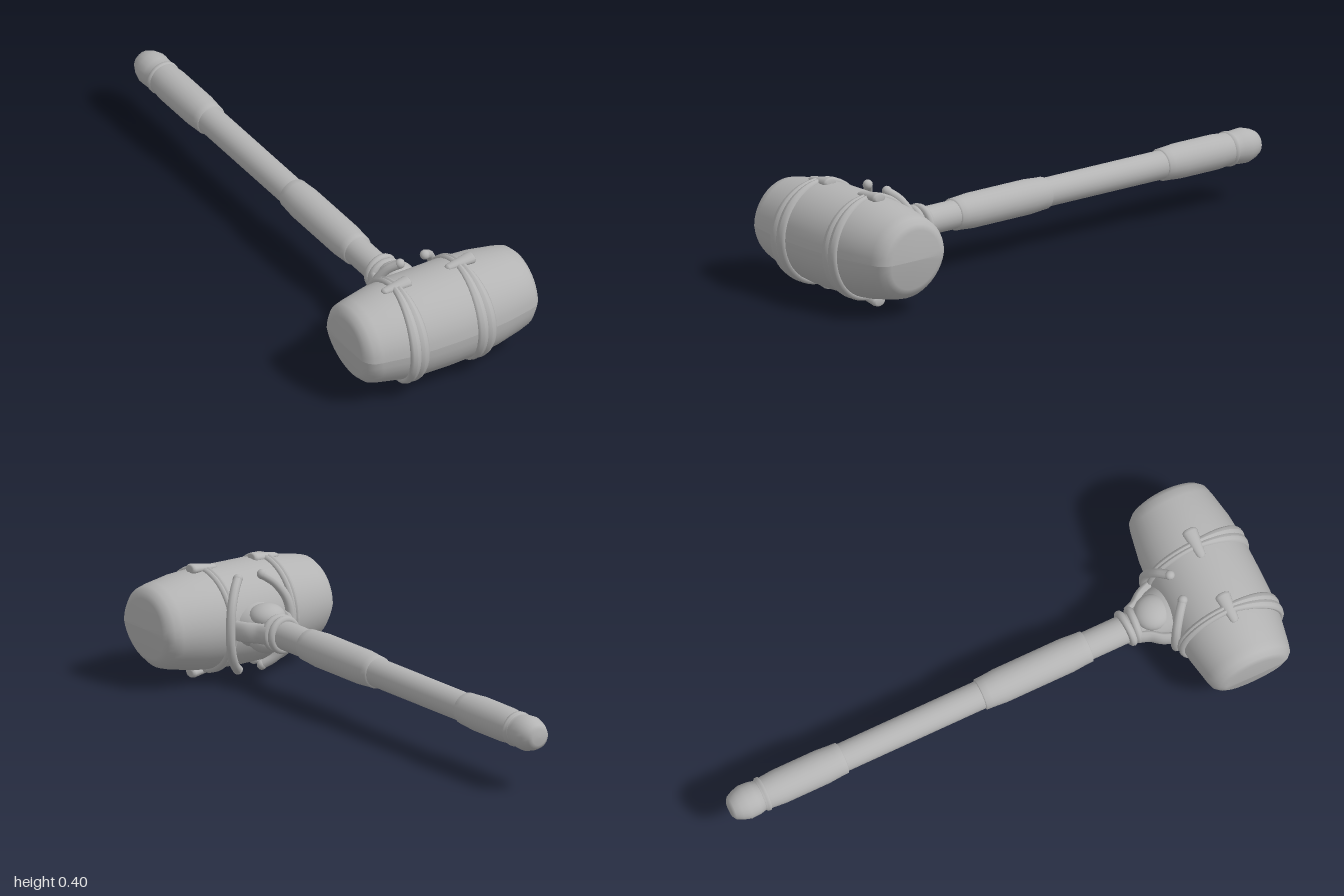
import * as THREE from 'three';

const CY = 0.205, HZ = 0.81, HX = -0.005; // axis height, head z, handle x

export function createModel() {
  const root = new THREE.Group();
  root.name = 'mallet';
  const grey = new THREE.MeshStandardMaterial({ color: 0xb4b4b4 });
  grey.name = 'plain grey';

  const add = (name, geo, x = 0, y = 0, z = 0) => {
    const m = new THREE.Mesh(geo, grey);
    m.name = name;
    m.position.set(x, y, z);
    root.add(m);
    return m;
  };
  const lathe = (pts, sides) =>
    new THREE.LatheGeometry(pts.map(([r, h]) => new THREE.Vector2(r, h)), sides);
  const turned = (name, pts) => add(name, lathe(pts, 24).rotateX(Math.PI / 2), HX, CY, 0);
  const curve = (pts) => new THREE.CatmullRomCurve3(pts.map((p) => new THREE.Vector3(...p)));

  // Barrel head: lathe along x, with the lower ends drawn inward
  const half = [[0.176, 0.1], [0.168, 0.2], [0.151, 0.295], [0.143, 0.325], [0.125, 0.343], [0.105, 0.351], [0, 0.352]];
  const profile = [...half.map(([r, h]) => [r, -h]).reverse(), [0.177, 0], ...half];
  const head = lathe(profile, 40).rotateZ(-Math.PI / 2);
  const hp = head.attributes.position;
  for (let i = 0; i < hp.count; i++) {
    const x = hp.getX(i), y = hp.getY(i);
    hp.setX(i, x * (1 - Math.max(0, -y) * 0.5));
    hp.setY(i, y + 0.005 * Math.abs(x) / 0.35);
    hp.setZ(i, hp.getZ(i) * 1.02);
  }
  head.computeVertexNormals();
  add('barrelHead', head, 0, CY, HZ);

  // Doubled cords round the head, widest at the front
  for (const [sx, lean] of [[-0.15, -0.012], [0.105, 0.002]]) {
    for (const side of [-1, 1]) {
      const t = 0.013;
      const cord = new THREE.TorusGeometry(0.173, t, 10, 56).rotateY(Math.PI / 2);
      const p = cord.attributes.position;
      for (let i = 0; i < p.count; i++) {
        const c = Math.max(0, p.getZ(i) / 0.173);
        const w = 0.017 + 0.02 * Math.min(c, 1);
        p.setX(i, p.getX(i) * (w * 0.62) / t + side * w * 0.4 + lean * c);
        p.setZ(i, p.getZ(i) * 1.02);
      }
      cord.computeVertexNormals();
      add('headCord', cord, sx, CY, HZ);
    }
  }

  // Toggle pegs above and below, thick end to +x
  for (const [px, lift] of [[-0.148, 0], [0.108, 0.004]]) {
    for (const s of [-1, 1]) {
      const peg = lathe([[0, -0.055], [0.01, -0.053], [0.015, -0.045], [0.021, 0], [0.027, 0.043], [0.025, 0.051], [0.018, 0.055], [0, 0.055]], 14)
        .rotateZ(-Math.PI / 2).scale(1, 0.68, 1);
      const m = add('togglePeg', peg, px, CY + s * (0.175 + lift), HZ);
      m.rotation.z = s * 0.07;
    }
  }

  // Handle shaft, grips and pommel
  turned('shaft', [[0.05, -0.9], [0.05, 0.56]]);
  for (const [a, b] of [[-0.05, 0.34], [-0.88, -0.58]]) {
    turned('grip', [[0.048, a - 0.008], [0.056, a - 0.004], [0.057, a + 0.02], [0.061, a + 0.07],
      [0.061, b - 0.07], [0.057, b - 0.02], [0.056, b + 0.004], [0.048, b + 0.008]]);
  }
  turned('pommel', [[0, -1], [0.028, -0.999], [0.042, -0.99], [0.053, -0.968], [0.061, -0.94],
    [0.059, -0.905], [0.054, -0.885], [0.061, -0.878], [0.061, -0.868], [0.052, -0.862]]);

  // Neck: flared socket, cord collars and bulges
  const neck = turned('neckSocket', [[0.05, 0.5], [0.056, 0.53], [0.066, 0.56], [0.085, 0.6], [0.1, 0.66]]);
  neck.scale.y = 0.8;
  [[0.493, 0.08], [0.522, -0.06]].forEach(([z, tilt]) => {
    const ring = add('collarCord', new THREE.TorusGeometry(0.053, 0.014, 10, 28), HX, CY, z);
    ring.rotation.y = tilt;
  });
  for (const s of [-1, 1]) {
    const bulge = add('neckBulge', new THREE.SphereGeometry(1, 24, 16), HX, CY + s * 0.04, 0.592);
    bulge.scale.set(0.064, 0.046, 0.064);

    // Side claws joining the collar to the head
    const claw = curve([[s * 0.048, CY, 0.52], [s * 0.062, CY, 0.555], [s * 0.088, CY, 0.59], [s * 0.11, CY, 0.65]]);
    const clawMesh = add('neckClaw', new THREE.TubeGeometry(claw, 16, 0.018, 10).scale(1, 2, 1), 0, -CY, 0);
    clawMesh.position.x = HX;

    // Bowed horns either side of the neck, with round tips
    const path = [[0.05, 0.365, 0.685], [0.085, 0.335, 0.655], [0.115, 0.28, 0.63], [0.125, CY, 0.622],
      [0.115, 0.13, 0.63], [0.085, 0.075, 0.655], [0.05, 0.045, 0.685]].map(([x, y, z]) => [s * x, y, z]);
    add('horn', new THREE.TubeGeometry(curve(path), 40, 0.016, 10));
    for (const tip of [path[0], path[6]]) add('hornTip', new THREE.SphereGeometry(0.0175, 12, 10), ...tip);
  }
  return root;
}
